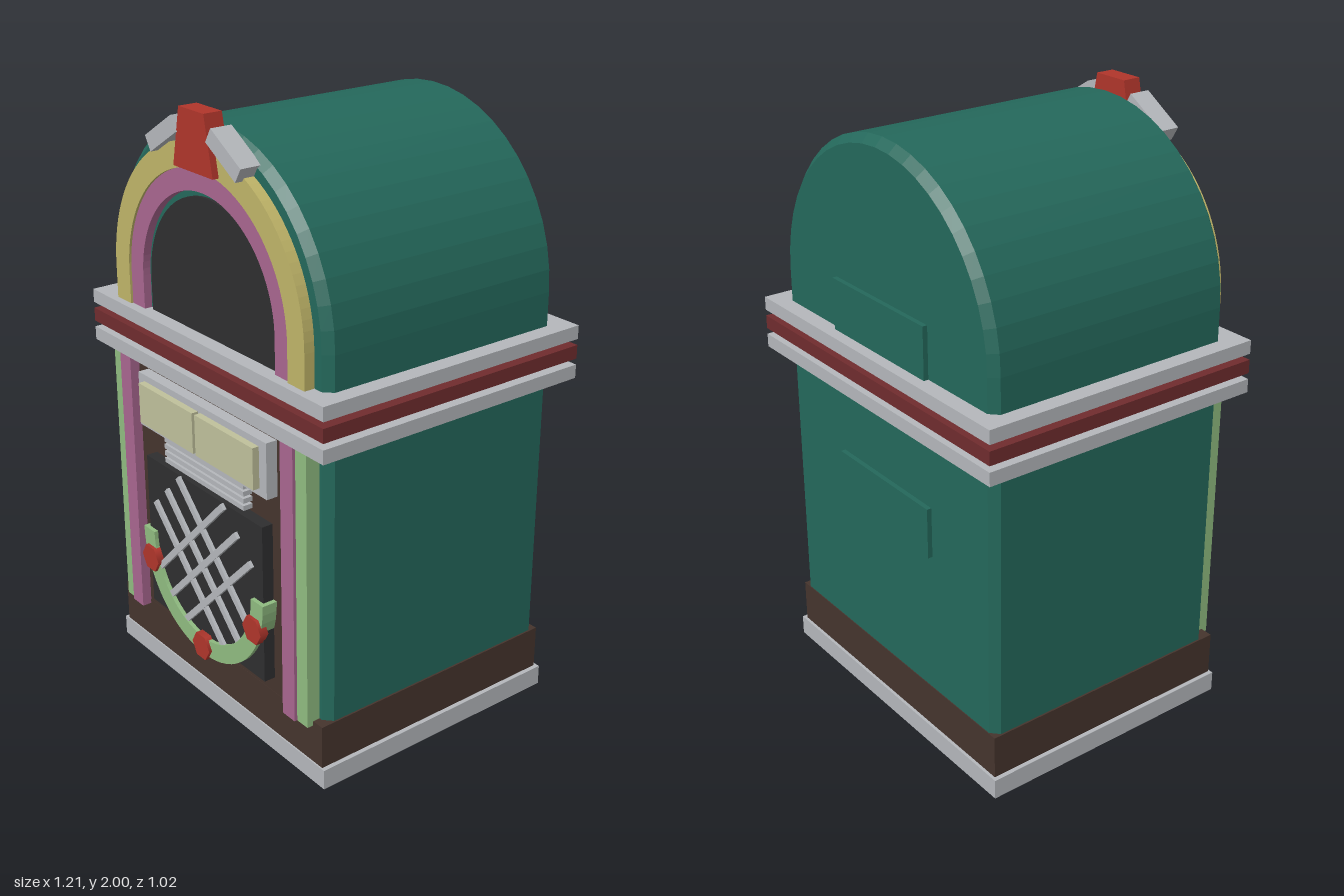
import * as THREE from 'three';

const mat = (name, color) => {
  const m = new THREE.MeshStandardMaterial({ color });
  m.name = name;
  return m;
};

export function createModel() {
  const teal = mat('teal', 0x24685b), yellow = mat('yellow', 0xbfb468), pink = mat('pink', 0xa8668f);
  const green = mat('light green', 0x8fbb80), silver = mat('silver', 0xb4b7bb), red = mat('red', 0xb0352b);
  const maroon = mat('maroon', 0x702c2e), brown = mat('brown', 0x45342d);
  const dark = mat('charcoal', 0x2e2e2f), cream = mat('cream', 0xbfc09b);

  const model = new THREE.Group();
  model.name = 'jukebox';

  const add = (name, geometry, material) => {
    const mesh = new THREE.Mesh(geometry, material);
    mesh.name = name;
    model.add(mesh);
    return mesh;
  };
  // box given by its limits on each axis
  const box = (name, material, x0, x1, y0, y1, z0, z1) => {
    const mesh = add(name, new THREE.BoxGeometry(x1 - x0, y1 - y0, z1 - z0), material);
    mesh.position.set((x0 + x1) / 2, (y0 + y1) / 2, (z0 + z1) / 2);
    return mesh;
  };
  const extrude = (name, material, shape, z0, z1, curveSegments = 24) => {
    const geometry = new THREE.ExtrudeGeometry(shape, { depth: z1 - z0, bevelEnabled: false, curveSegments });
    geometry.translate(0, 0, z0);
    return add(name, geometry, material);
  };

  const SPRING = 1.41; // height where the round top begins
  // solid arch outline, or an arched band when an inner radius is given
  const arch = (r, bottom, inner = 0) => {
    const s = new THREE.Shape();
    s.moveTo(r, bottom);
    s.lineTo(r, SPRING);
    s.absarc(0, SPRING, r, 0, Math.PI, false);
    s.lineTo(-r, bottom);
    if (inner) {
      s.lineTo(-inner, bottom);
      s.lineTo(-inner, SPRING);
      s.absarc(0, SPRING, inner, Math.PI, 0, true);
      s.lineTo(inner, bottom);
    }
    s.closePath();
    return s;
  };

  // cabinet with chamfered front and back edges
  const cabinet = new THREE.ExtrudeGeometry(arch(0.522, 0.1), {
    depth: 0.83, bevelEnabled: true, bevelSegments: 1, bevelSize: 0.027, bevelThickness: 0.026, curveSegments: 12,
  });
  cabinet.translate(0, 0, -0.431);
  add('cabinet', cabinet, teal);
  box('backPanelUpper', teal, -0.24, 0.24, 1.3, 1.47, -0.473, -0.45);
  box('backPanelLower', teal, -0.24, 0.24, 0.705, 0.875, -0.473, -0.45);

  // base
  box('base', silver, -0.57, 0.57, 0, 0.068, -0.47, 0.455);
  box('plinth', brown, -0.555, 0.555, 0.068, 0.215, -0.46, 0.45);

  // belt of three bands
  box('beltLower', silver, -0.605, 0.605, 1.125, 1.17, -0.512, 0.485);
  box('beltMiddle', maroon, -0.605, 0.605, 1.19, 1.235, -0.512, 0.485);
  box('beltUpper', silver, -0.605, 0.605, 1.255, 1.3, -0.512, 0.485);

  // arched front
  extrude('outerArch', yellow, arch(0.49, 1.27, 0.412), 0.42, 0.46);
  extrude('innerArch', pink, arch(0.412, 1.27, 0.343), 0.42, 0.452);
  extrude('window', dark, arch(0.323, 1.14), 0.42, 0.435);

  // lower front panel and side columns
  box('frontPanel', brown, -0.402, 0.402, 0.2, 1.14, 0.42, 0.449);
  for (const s of [-1, 1]) {
    box('outerColumn', green, s * 0.485 - 0.026, s * 0.485 + 0.026, 0.2, 1.13, 0.42, 0.472);
    box('innerColumn', pink, s * 0.43 - 0.03, s * 0.43 + 0.03, 0.2, 1.13, 0.42, 0.482);
  }

  // selection display
  box('displayFrame', silver, -0.343, 0.343, 0.912, 1.095, 0.44, 0.488);
  for (const s of [-1, 1]) {
    box('displayCard', cream, s * 0.157 - 0.15, s * 0.157 + 0.15, 0.937, 1.073, 0.48, 0.511);
  }
  for (let i = 0; i < 4; i++) {
    const y = 0.83 + i * 0.024;
    box('slat', silver, -0.215, 0.215, y - 0.008, y + 0.008, 0.44, 0.482);
  }

  // speaker grille with diagonal bars
  box('grille', dark, -0.316, 0.316, 0.27, 0.81, 0.44, 0.488);
  for (const s of [-1, 1]) {
    for (const k of [-1, 0, 1]) {
      const bar = add('grilleBar', new THREE.BoxGeometry(0.55, 0.022, 0.012), silver);
      bar.rotation.z = s * Math.PI / 4;
      bar.position.set(-s * k * 0.0695, 0.54 + k * 0.0695, s > 0 ? 0.494 : 0.493);
    }
  }

  // curved trim below the grille with faceted gems
  const trim = new THREE.Shape();
  trim.absarc(0, 0.55, 0.332, Math.PI, 2 * Math.PI, false);
  trim.absarc(0, 0.55, 0.27, 2 * Math.PI, Math.PI, true);
  trim.closePath();
  extrude('grilleTrim', green, trim, 0.44, 0.502, 16);
  for (const [x, y] of [[-0.285, 0.45], [0, 0.25], [0.285, 0.45]]) {
    const gem = new THREE.CylinderGeometry(0.048, 0.048, 0.03, 6);
    gem.rotateY(Math.PI / 6);
    gem.rotateX(Math.PI / 2);
    add('gem', gem.toNonIndexed(), red).position.set(x, y, 0.498);
  }

  // crown and its wings
  const crown = new THREE.Shape([[-0.1, 1.82], [0.1, 1.82], [0.063, 2], [-0.063, 2]].map(p => new THREE.Vector2(...p)));
  extrude('crown', red, crown, 0.418, 0.481);
  for (const s of [-1, 1]) {
    const wing = add('crownWing', new THREE.BoxGeometry(0.165, 0.052, 0.072), silver);
    wing.position.set(s * 0.158, 1.902, 0.449);
    wing.rotation.z = -s * 0.55;
  }

  return model;
}
